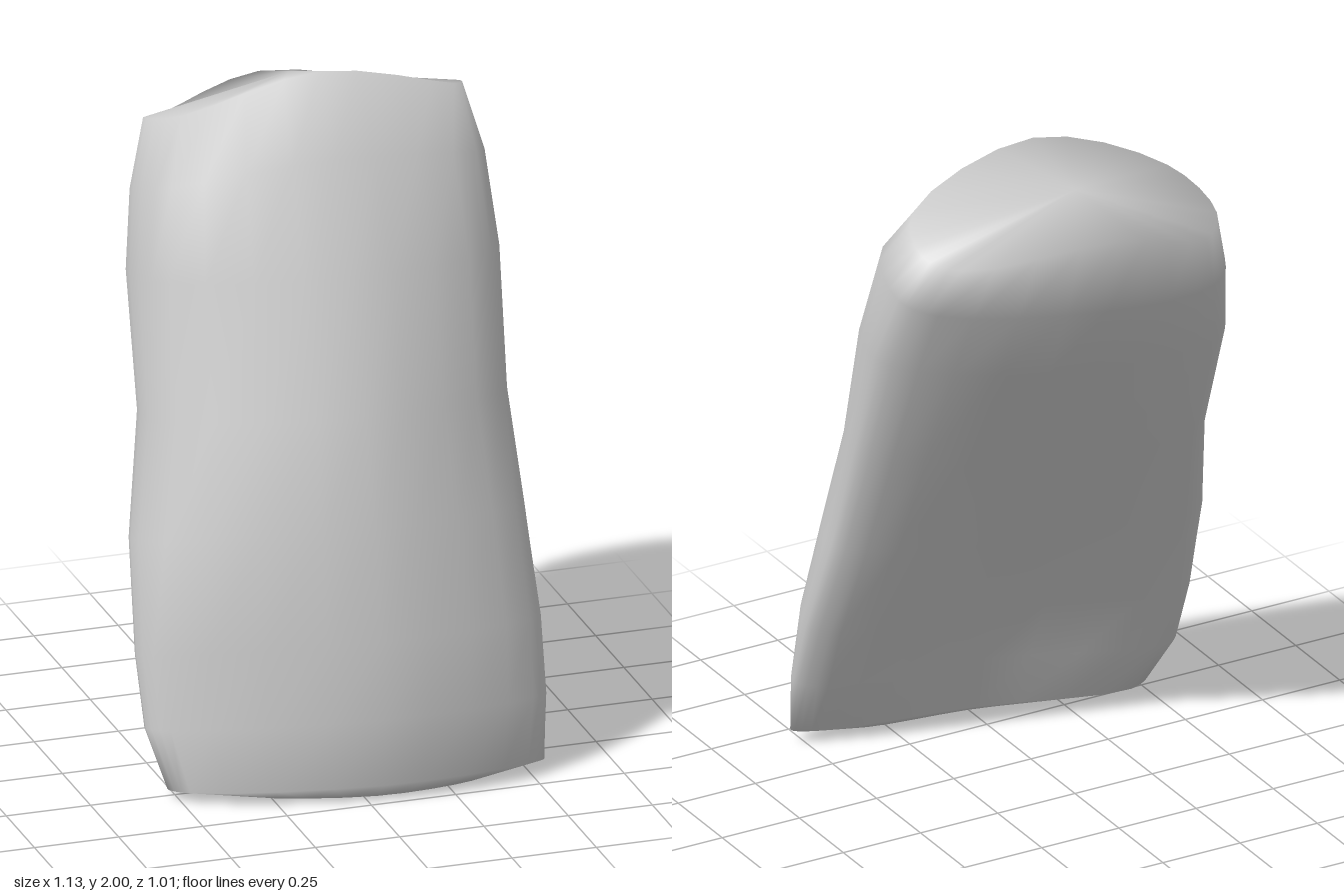
import * as THREE from 'three';

// Cross-sections, bottom to top. Heights: front, back, drop towards the sides.
// Depths: front middle, back middle. Then for the right and the left side:
// x, z of the widest point, z of the front corner, z of the back corner.
const SECTIONS = [
  [[0.05, 0.03, 0], [0.49, 0.31], [-0.525, 0.26, 0.33, 0.21], [0.54, 0.42, 0.455, 0.38]],
  [[0.25, 0.20, 0], [0.495, 0.265], [-0.56, 0.16, 0.26, 0.14], [0.56, 0.37, 0.44, 0.31]],
  [[0.48, 0.40, 0], [0.475, 0.18], [-0.565, 0.09, 0.235, 0.06], [0.565, 0.29, 0.40, 0.23]],
  [[0.80, 0.70, 0], [0.415, 0.03], [-0.55, -0.01, 0.185, -0.06], [0.55, 0.17, 0.31, 0.11]],
  [[1.10, 1.02, 0], [0.33, -0.14], [-0.485, -0.13, 0.085, -0.21], [0.53, 0.08, 0.22, 0.00]],
  [[1.48, 1.38, 0], [0.20, -0.355], [-0.475, -0.26, -0.01, -0.36], [0.55, -0.07, 0.10, -0.18]],
  [[1.78, 1.60, 0.03], [0.05, -0.44], [-0.44, -0.33, -0.09, -0.41], [0.54, -0.19, 0.00, -0.28]],
  [[2.00, 1.845, 0.09], [-0.08, -0.50], [-0.38, -0.39, -0.19, -0.47], [0.515, -0.29, -0.13, -0.37]],
];
const SIDES = 32;

// One closed ring with rounded corners, starting at the front middle
function ring([[yFront, yBack, drop], [zFront, zBack], [xR, zR, zFrontR, zBackR], [xL, zL, zFrontL, zBackL]]) {
  const at = (x, z, lower) => {
    const y = THREE.MathUtils.mapLinear(z, zFront, zBack, yFront, yBack);
    return new THREE.Vector3(x, y - lower, z);
  };
  const curve = new THREE.CatmullRomCurve3([
    at(0.04, zFront, 0),
    at(xL - 0.06, zFrontL, drop),
    at(xL, zL, drop),
    at(xL - 0.08, zBackL, drop),
    at(0, zBack, 0),
    at(xR + 0.08, zBackR, drop),
    at(xR, zR, drop),
    at(xR + 0.045, zFrontR, drop),
  ], true);
  return Array.from({ length: SIDES }, (_, j) => curve.getPoint(j / SIDES));
}

const middleOf = (points) => points[0].clone().lerp(points[SIDES / 2], 0.5);

export function createModel() {
  const rings = SECTIONS.map(ring);

  // Slightly rounded underside and a sloping top
  const base = middleOf(rings[0]).setY(0);
  rings.unshift(rings[0].map((p) => p.clone().lerp(base, 0.35).setY(0.008)));
  const top = middleOf(rings[rings.length - 1]);

  const points = [...rings.flat(), base, top];
  const baseId = points.length - 2;
  const topId = points.length - 1;
  const last = (rings.length - 1) * SIDES;
  const index = [];
  for (let j = 0; j < SIDES; j++) {
    const k = (j + 1) % SIDES;
    for (let i = 0; i < last; i += SIDES) {
      index.push(i + j, i + k, i + SIDES + k, i + j, i + SIDES + k, i + SIDES + j);
    }
    index.push(baseId, k, j, topId, last + j, last + k);
  }

  const geometry = new THREE.BufferGeometry().setFromPoints(points);
  geometry.setIndex(index);
  geometry.computeVertexNormals();

  const slab = new THREE.Mesh(
    geometry,
    new THREE.MeshStandardMaterial({ color: 0xcccccc })
  );
  slab.name = 'leaningSlab';

  const group = new THREE.Group();
  group.name = 'leaningStone';
  group.add(slab);
  return group;
}
